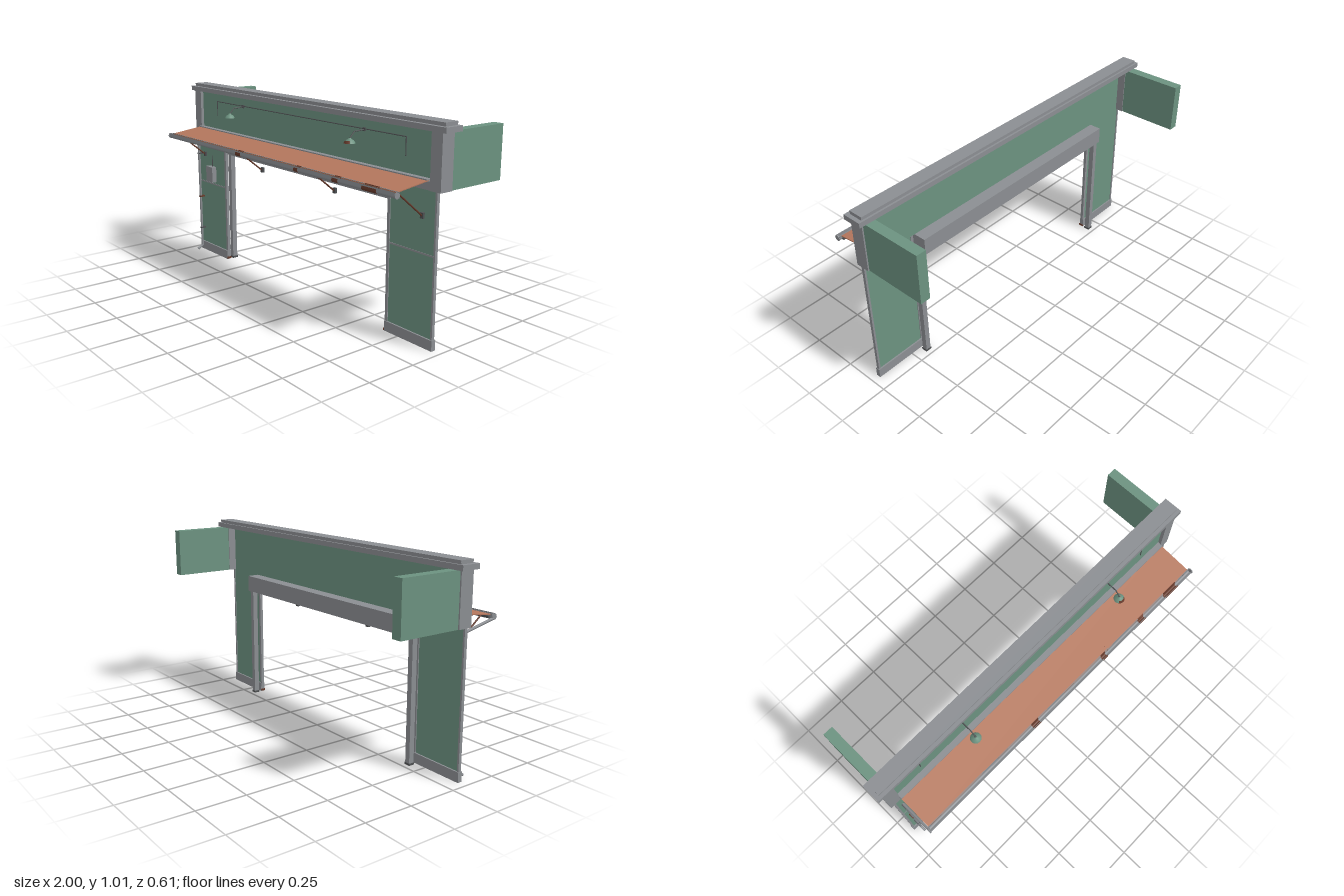
import * as THREE from 'three';

const mat = (name, color) => {
  const m = new THREE.MeshStandardMaterial({ color });
  m.name = name;
  return m;
};

export function createModel() {
  const root = new THREE.Group();
  root.name = 'shopfront';
  const green = mat('green paint', 0x6c9280);
  const grey = mat('grey trim', 0x8b8e92);
  const dark = mat('dark metal', 0x4e5052);
  const copper = mat('awning sheet', 0xb4775d);
  const rust = mat('rust', 0x663a2b);
  grey.side = rust.side = green.side = THREE.DoubleSide;

  const add = (name, geo, material, parent = root) => {
    const m = new THREE.Mesh(geo, material);
    m.name = name;
    parent.add(m);
    return m;
  };
  // box given by its low and high limits
  const box = (name, x0, x1, y0, y1, z0, z1, material, parent) => {
    const m = add(name, new THREE.BoxGeometry(x1 - x0, y1 - y0, z1 - z0), material, parent);
    m.position.set((x0 + x1) / 2, (y0 + y1) / 2, (z0 + z1) / 2);
    return m;
  };
  // round bar through a list of points
  const rods = (name, pts, r, material, sides = 8) => {
    const v = pts.map(p => new THREE.Vector3(...p));
    for (let i = 0; i < v.length - 1; i++) {
      const d = v[i + 1].clone().sub(v[i]);
      const m = add(name, new THREE.CylinderGeometry(r, r, d.length() + r * 0.6, sides), material);
      m.position.copy(v[i]).add(v[i + 1]).multiplyScalar(0.5);
      m.quaternion.setFromUnitVectors(new THREE.Vector3(0, 1, 0), d.normalize());
    }
  };

  // cornice and sign board
  box('cornice', -1, 1, 0.97, 0.995, 0, 0.1, grey);
  box('corniceCap', -0.98, 0.98, 0.995, 1.002, 0.01, 0.081, grey);
  box('corniceTop', -0.98, 0.98, 1.002, 1.012, 0.008, 0.084, grey);
  box('signPanel', -0.915, 0.915, 0.715, 0.97, 0.063, 0.075, green);
  box('signBottomTrim', -0.913, 0.913, 0.715, 0.765, 0.075, 0.088, grey);
  box('doorBeam', -0.67, 0.665, 0.628, 0.715, -0.002, 0.077, grey);

  for (const s of [-1, 1]) {
    const side = new THREE.Group();
    side.name = s < 0 ? 'rightSide' : 'leftSide';
    root.add(side);
    // box measured outwards from the middle
    const sb = (name, a, b, y0, y1, z0, z1, m) =>
      box(name, Math.min(a * s, b * s), Math.max(a * s, b * s), y0, y1, z0, z1, m, side);
    sb('endPillar', 0.913, 0.975, 0.715, 0.97, 0.02, 0.092, grey);
    sb('sideWing', 0.917, 0.968, 0.715, 0.97, -0.305, 0.02, green);

    // wall leg with its frame
    sb('legPanel', 0.675, 0.95, 0.045, 0.716, 0.079, 0.087, green);
    sb('legOuterFrame', 0.947, 0.957, 0, 0.716, 0.075, 0.091, grey);
    sb('legInnerFrame', 0.663, 0.679, 0, 0.716, 0.075, 0.091, grey);
    sb('legSeam', 0.679, 0.947, 0.426, 0.434, 0.086, 0.089, grey);
    sb('legPlinth', 0.664, 0.96, 0, 0.05, 0.071, 0.095, grey);

    // shutter guide behind the opening edge
    sb('shutterGuide', 0.663, 0.69, 0.008, 0.63, 0.027, 0.055, grey);
    sb('guideFoot', 0.66, 0.693, 0, 0.01, 0.025, 0.057, dark);
    sb('guideRust', 0.661, 0.664, 0.002, 0.014, 0.071, 0.097, rust);
  }

  // sloping awning, bare metal below
  const awning = box('awning', -0.915, 0.91, 0.7465, 0.7505, 0.093, 0.284,
    [copper, copper, copper, grey, copper, grey]);
  awning.rotation.x = Math.atan(0.125);
  box('awningFlashing', -0.915, 0.91, 0.756, 0.766, 0.088, 0.106, grey);
  box('awningRail', -0.915, 0.91, 0.722, 0.732, 0.265, 0.275, dark);

  // deep rounded gutter
  const trough = (name, x0, x1, ro, ri, top, material) => {
    const s = new THREE.Shape();
    s.moveTo(-ro, top);
    s.absarc(0, 0, ro, Math.PI, 2 * Math.PI, false);
    s.lineTo(ro, top);
    s.lineTo(ri, top);
    s.absarc(0, 0, ri, 2 * Math.PI, Math.PI, true);
    s.lineTo(-ri, top);
    const g = new THREE.ExtrudeGeometry(s, { depth: x1 - x0, bevelEnabled: false, curveSegments: 8 });
    const m = add(name, g, material);
    m.rotation.y = Math.PI / 2;
    m.position.set(x0, 0.726, 0.292);
  };
  trough('gutter', -0.925, 0.922, 0.0125, 0.0095, 0.015, grey);
  for (const [x, w] of [[-0.217, 0.045], [0.265, 0.03], [0.545, 0.04], [0.765, 0.09]])
    trough('gutterRust', x - w / 2, x + w / 2, 0.0132, 0.0088, 0.0156, rust);
  for (const x of [-0.925, 0.922]) {
    const cap = add('gutterEnd', new THREE.CylinderGeometry(0.015, 0.015, 0.005, 8), grey);
    cap.rotation.z = Math.PI / 2;
    cap.position.set(x, 0.727, 0.293);
  }

  // awning brackets
  for (const x of [-0.88, -0.3, 0.3, 0.877]) {
    rods('bracketStrut', [[x, 0.738, 0.265], [x, 0.602, 0.097]], 0.004, rust, 6);
    rods('bracketArm', [[x, 0.754, 0.09], [x, 0.731, 0.282]], 0.0035, rust, 6);
    box('bracketPlate', x - 0.009, x + 0.009, 0.588, 0.614, 0.084, 0.098, dark);
  }

  // downpipe with clips
  const px = -0.922;
  rods('downpipe', [[px, 0.718, 0.288], [px, 0.68, 0.112], [px, 0.028, 0.108], [px, 0.01, 0.138]], 0.007, grey, 10);
  for (const [y, m] of [[0.14, dark], [0.336, rust], [0.6, dark]])
    box('pipeClip', px - 0.009, px + 0.009, y - 0.004, y + 0.004, 0.085, 0.116, m);

  // meter box and its cable
  box('meterBox', -0.842, -0.775, 0.446, 0.537, 0.086, 0.115, grey);
  rods('meterCable', [[-0.808, 0.535, 0.091], [-0.808, 0.6, 0.091]], 0.0025, dark, 6);

  // sign conduit
  rods('conduit', [[-0.755, 0.84, 0.078], [-0.755, 0.924, 0.078], [0.755, 0.924, 0.078], [0.755, 0.84, 0.078]],
    0.0025, dark, 6);

  // gooseneck lamps, one with a rusty front
  const profile = grow => [[0.027, 0], [0.02, 0.012], [0.009, 0.018], [0.005, 0.024]]
    .map(([r, y]) => new THREE.Vector2(r + grow, y));
  for (const x of [-0.49, 0.49]) {
    rods('lampArm', [[x, 0.921, 0.076], [x, 0.918, 0.14], [x, 0.89, 0.167]], 0.003, dark, 6);
    box('lampMount', x - 0.008, x + 0.008, 0.914, 0.93, 0.074, 0.084, dark);
    const shade = add('lampShade', new THREE.LatheGeometry(profile(0), 16), green);
    shade.position.set(x, 0.868, 0.168);
    if (x > 0) {
      const patch = add('lampRust', new THREE.LatheGeometry(profile(0.0006).slice(0, 2), 6, -0.9, 1.8), rust);
      patch.position.copy(shade.position);
    }
    const bulb = add('lampBulb', new THREE.SphereGeometry(0.008, 10, 8), dark);
    bulb.position.set(x, 0.877, 0.168);
  }
  return root;
}
